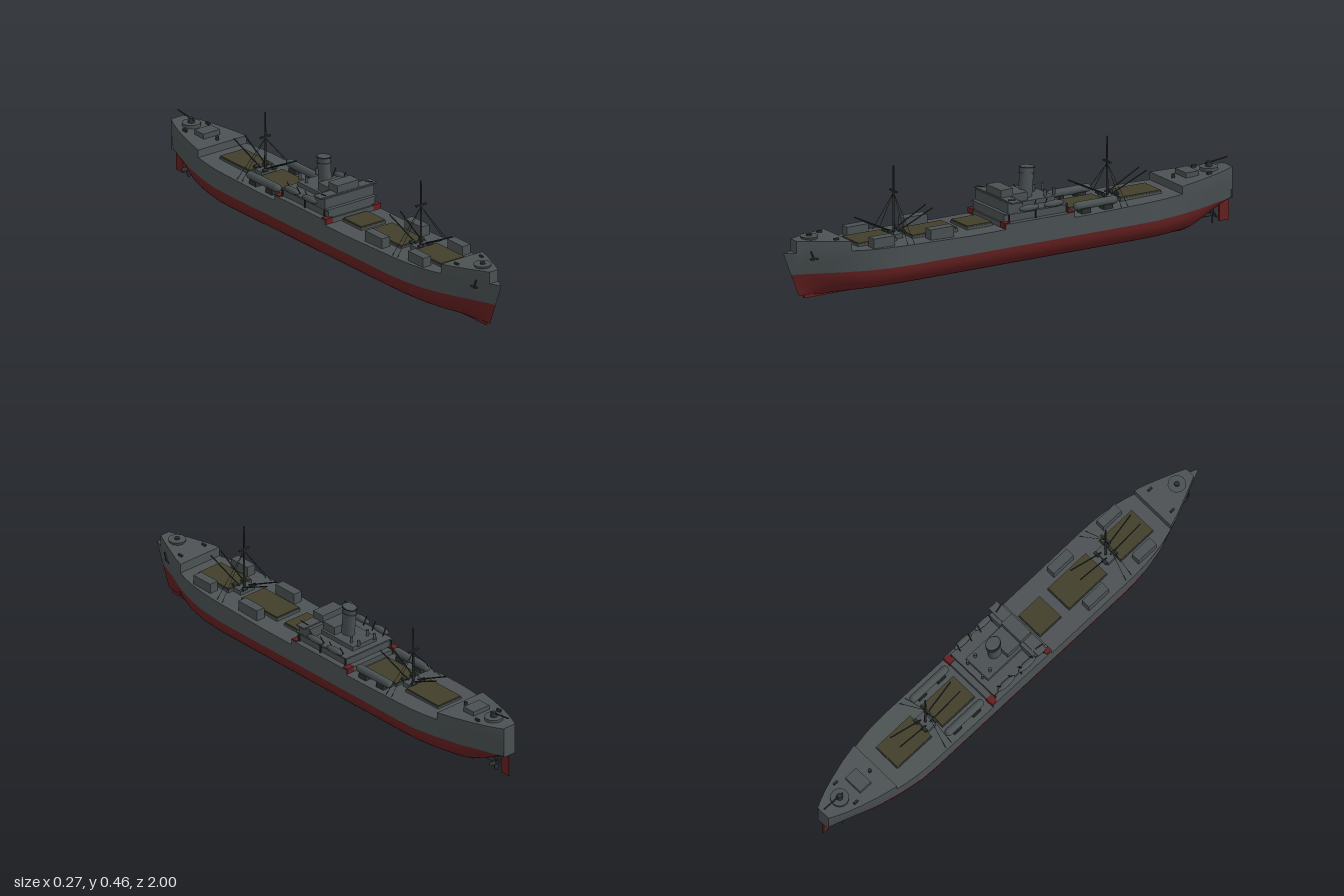
import * as THREE from 'three';
import { toCreasedNormals } from 'three/addons/utils/BufferGeometryUtils.js';

const mat = (name, color, side = THREE.FrontSide) => {
  const m = new THREE.MeshStandardMaterial({ color, side });
  m.name = name;
  return m;
};

export function createModel() {
  const ship = new THREE.Group();
  ship.name = 'cargoShip';
  const grey = mat('hullGrey', 0x4a5153, THREE.DoubleSide);
  const deckGrey = mat('deckGrey', 0x4c5153, THREE.DoubleSide);
  const red = mat('antifoulingRed', 0x641f20, THREE.DoubleSide);
  const olive = mat('hatchOlive', 0x42402a);
  const dark = mat('fittingsDark', 0x2b2f31);

  // ---- helpers ----
  const add = (name, geo, material, x = 0, y = 0, z = 0) => {
    const m = new THREE.Mesh(geo, material);
    m.name = name;
    m.position.set(x, y, z);
    ship.add(m);
    return m;
  };
  // Box given by centre x, width, and ranges in y and z
  const box = (name, material, x, w, y0, y1, z0, z1) =>
    add(name, new THREE.BoxGeometry(w, y1 - y0, z1 - z0), material, x, (y0 + y1) / 2, (z0 + z1) / 2);
  const cyl = (name, material, r0, r1, h, x, y, z, n = 16) =>
    add(name, new THREE.CylinderGeometry(r1, r0, h, n), material, x, y + h / 2, z);
  const rod = (name, a, b, r, material = dark) => {
    const p = new THREE.Vector3(...a), q = new THREE.Vector3(...b), d = q.clone().sub(p);
    const m = add(name, new THREE.CylinderGeometry(r, r, d.length(), 6), material);
    m.position.copy(p).add(q).multiplyScalar(0.5);
    m.quaternion.setFromUnitVectors(new THREE.Vector3(0, 1, 0), d.normalize());
  };
  const interp = (table, z) => {
    let i = 0;
    while (i < table.length - 2 && z > table[i + 1][0]) i++;
    const [z0, a] = table[i], [z1, b] = table[i + 1];
    return a + (b - a) * THREE.MathUtils.clamp((z - z0) / (z1 - z0), 0, 1);
  };
  const loft = (name, rows, material, crease = 0.6) => {
    const n = rows[0].length, index = [];
    for (let i = 0; i < rows.length - 1; i++) for (let j = 0; j < n - 1; j++) {
      const a = i * n + j, b = a + n;
      index.push(a, a + 1, b, a + 1, b + 1, b);
    }
    const g = new THREE.BufferGeometry();
    g.setAttribute('position', new THREE.Float32BufferAttribute(rows.flat(2), 3));
    g.setIndex(index);
    add(name, toCreasedNormals(g, crease), material);
  };

  // ---- hull lines: half-beam at deck and waterline, keel rise, sheer ----
  const beam = [[-1, 0.03], [-0.97, 0.045], [-0.9, 0.072], [-0.8, 0.1], [-0.7, 0.121], [-0.62, 0.132], [-0.55, 0.135],
    [0.54, 0.135], [0.62, 0.13], [0.7, 0.116], [0.8, 0.086], [0.9, 0.046], [1, 0]];
  const water = [[-1, 0.02], [-0.9, 0.055], [-0.8, 0.09], [-0.7, 0.115], [-0.6, 0.132], [-0.52, 0.135],
    [0.5, 0.135], [0.6, 0.126], [0.7, 0.106], [0.8, 0.074], [0.9, 0.037], [1, 0]];
  const keel = [[-1, 0.099], [-0.94, 0.07], [-0.86, 0.03], [-0.79, 0.007], [0.9, 0.005], [1, 0.012]];
  const mainSheer = [[-1, 0.186], [-0.7, 0.181], [-0.3, 0.173], [0.25, 0.173], [0.6, 0.183], [1, 0.19]];
  const poop = [[-1, 0.226], [-0.72, 0.212]];
  const forecastle = [[0.755, 0.225], [0.955, 0.237]];
  const WL = 0.1;
  const halfBeam = (z, y) => THREE.MathUtils.lerp(interp(water, z), interp(beam, z),
    THREE.MathUtils.clamp((y - WL) / 0.085, 0, 1));
  const rake = (z, y) => z - 0.07 * THREE.MathUtils.clamp((0.185 - y) / 0.175, 0, 1)
    * THREE.MathUtils.smoothstep(z, 0.65, 1);

  const stations = [];
  for (let i = 0; i <= 50; i++) {
    const z = -1 + i * 0.04;
    stations.push([z, z < -0.72 ? interp(poop, z) : z > 0.755 && z < 0.955 ? interp(forecastle, z) : interp(mainSheer, z)]);
  }
  // doubled stations make the breaks of the raised decks
  stations.push([-0.7201, 0.212], [-0.7199, 0.181], [0.7549, 0.187], [0.7551, 0.225], [0.9549, 0.237], [0.9551, 0.189]);
  stations.sort((a, b) => a[0] - b[0]);

  const bottomRow = ([z]) => {
    const k = interp(keel, z), w = interp(water, z);
    const e = 2 / (2.3 - 0.9 * THREE.MathUtils.smoothstep(Math.abs(z), 0.6, 1));
    const row = [];
    for (let j = -12; j <= 12; j++) {
      const a = (Math.abs(j) / 12) * Math.PI / 2;
      const y = k + (WL - k) * (1 - Math.max(0, Math.cos(a)) ** e);
      row.push([Math.sign(j) * w * Math.sin(a) ** e, y, rake(z, y)]);
    }
    return row;
  };
  loft('hullBottom', stations.map(bottomRow), red, 0.9);
  for (const s of [1, -1]) loft('hullSide', stations.map(([z, top]) => {
    const row = [0, 0.25, 0.5, 0.75, 1].map(f => {
      const y = WL + (top - WL) * f;
      return [s * halfBeam(z, y), y, rake(z, y)];
    });
    return s > 0 ? row : row.reverse();
  }), grey);
  loft('deck', stations.map(([z, y]) => [1, -1].map(s => [s * halfBeam(z, y), y, rake(z, y)])), deckGrey, 0.4);
  box('transom', grey, 0, 0.056, WL, 0.226, -1, -0.997);
  box('keelBar', red, 0, 0.008, 0, 0.012, -0.8, 0.91);

  // ---- rudder and propeller ----
  box('rudder', red, 0, 0.008, 0.01, 0.098, -1, -0.957);
  rod('propellerShaft', [0, 0.04, -0.85], [0, 0.04, -0.94], 0.006);
  for (let i = 0; i < 4; i++) {
    const blade = add('propellerBlade', new THREE.SphereGeometry(1, 10, 6), dark, 0, 0.04, -0.927);
    blade.geometry.scale(0.009, 0.018, 0.003).rotateY(0.5).translate(0, 0.019, 0);
    blade.rotation.z = i * Math.PI / 2;
  }

  // ---- cargo hatches ----
  for (const [z0, z1] of [[-0.66, -0.48], [-0.42, -0.25], [0.1, 0.21], [0.255, 0.455], [0.53, 0.7]]) {
    const y = interp(mainSheer, (z0 + z1) / 2);
    box('hatchCoaming', grey, 0, 0.118, y - 0.01, y + 0.01, z0 - 0.002, z1 + 0.002);
    box('hatchCover', olive, 0, 0.114, y + 0.01, y + 0.015, z0, z1);
  }

  // ---- midship island ----
  box('islandBlock', grey, 0, 0.27, 0.165, 0.193, -0.225, 0.085);
  box('promenadeHouse', grey, 0, 0.222, 0.193, 0.222, -0.2, 0.078);
  box('boatDeck', deckGrey, 0, 0.236, 0.222, 0.228, -0.205, 0.08);
  box('bridgeHouse', grey, 0, 0.234, 0.228, 0.268, 0.0, 0.064);
  box('bridgeWings', deckGrey, 0, 0.27, 0.268, 0.273, 0.015, 0.058);
  box('wheelhouse', grey, 0, 0.104, 0.273, 0.303, 0.0, 0.056);
  box('funnelHouse', grey, 0, 0.12, 0.228, 0.246, -0.18, 0);
  box('officersHouse', grey, 0, 0.1, 0.246, 0.278, -0.065, 0);
  for (const s of [1, -1]) {
    for (const z of [0.062, -0.228]) box('redLocker', red, s * 0.115, 0.034, 0.176, 0.197, z, z + 0.026);
    for (const z of [0.06, -0.06, -0.2]) rod('deckPost', [s * 0.118, 0.19, z], [s * 0.118, 0.225, z], 0.003);
    for (const z of [-0.03, -0.14]) {
      const boat = add('lifeboat', new THREE.SphereGeometry(1, 16, 10), grey, s * 0.118, 0.238, z);
      boat.scale.set(0.013, 0.013, 0.045);
      for (const d of [-0.03, 0.03]) rod('davit', [s * 0.1, 0.228, z + d], [s * 0.118, 0.262, z + d], 0.002);
    }
    for (const z of [-0.15, -0.19]) cyl('ventilator', grey, 0.006, 0.006, 0.026, s * 0.04, 0.246, z, 10);
    rod('bridgeGun', [s * 0.105, 0.273, 0.025], [s * 0.112, 0.281, 0.06], 0.002);
  }

  // ---- raked funnel ----
  const funnel = new THREE.Group();
  funnel.name = 'funnel';
  const funnelPart = (name, r, h, y, m) => {
    const p = new THREE.Mesh(new THREE.CylinderGeometry(r, r, h, 24), m);
    p.name = name;
    p.position.y = y;
    funnel.add(p);
  };
  funnelPart('funnelBody', 0.023, 0.125, 0.062, grey);
  funnelPart('funnelBand', 0.026, 0.004, 0.1, grey);
  funnelPart('funnelCap', 0.026, 0.004, 0.122, dark);
  funnel.scale.z = 1.25;
  funnel.position.set(0, 0.24, -0.085);
  funnel.rotation.x = -0.08;
  ship.add(funnel);

  // ---- masts with derricks, shrouds and winches ----
  for (const [z, top] of [[0.505, 0.46], [-0.455, 0.425]]) {
    const y = interp(mainSheer, z), cross = top - 0.1;
    box('mastHouse', grey, 0, 0.07, y - 0.01, y + 0.018, z - 0.02, z + 0.02);
    cyl('mast', dark, 0.005, 0.003, top - y, 0, y, z, 10);
    box('crosstree', dark, 0, 0.05, cross - 0.003, cross + 0.003, z - 0.004, z + 0.004);
    for (const s of [1, -1]) {
      for (const d of [1, -1]) {
        rod('derrick', [s * 0.015, y + 0.022, z + d * 0.01], [s * 0.026, y + 0.094, z + d * 0.16], 0.0026);
        const winch = cyl('winch', dark, 0.007, 0.007, 0.022, s * 0.022, y + 0.014, z + d * 0.027, 10);
        winch.rotation.z = Math.PI / 2;
        rod('shroud', [s * 0.003, cross - 0.01, z], [s * 0.125, y, z + d * 0.015], 0.0009);
      }
    }
  }

  // ---- deck cargo along the sides ----
  for (const s of [1, -1]) {
    for (const [z0, z1, y1] of [[0.305, 0.41, 0.218], [0.57, 0.665, 0.222]])
      box('deckLocker', grey, s * 0.095, 0.038, 0.17, y1, z0, z1);
    for (const z of [-0.39, -0.29]) {
      box('cradle', dark, s * 0.095, 0.036, 0.172, 0.192, z - 0.02, z + 0.02);
    }
    const launch = add('stowedLaunch', new THREE.CapsuleGeometry(0.016, 0.165, 6, 14), grey, s * 0.095, 0.202, -0.342);
    launch.rotation.x = Math.PI / 2;
  }

  // ---- forecastle gear ----
  cyl('bowGunTub', grey, 0.03, 0.036, 0.014, 0, 0.23, 0.885, 10);
  cyl('bowWindlass', dark, 0.012, 0.01, 0.012, 0, 0.238, 0.885, 10);
  for (const s of [1, -1]) {
    box('bollard', dark, s * 0.06, 0.008, 0.225, 0.235, 0.79, 0.81);
    rod('anchorShank', [s * 0.047, 0.158, 0.89], [s * 0.046, 0.193, 0.905], 0.0035);
    rod('anchorArms', [s * 0.05, 0.162, 0.875], [s * 0.042, 0.162, 0.905], 0.004);
  }

  // ---- poop house, gun tub and stern gun ----
  box('poopHouse', grey, 0, 0.08, 0.212, 0.236, -0.842, -0.785);
  cyl('poopVent', dark, 0.007, 0.007, 0.016, 0, 0.212, -0.752, 10);
  cyl('sternGunTub', grey, 0.036, 0.036, 0.014, 0, 0.22, -0.912, 20);
  cyl('sternGunMount', dark, 0.014, 0.01, 0.018, 0, 0.234, -0.912, 12);
  rod('sternGunBarrel', [0, 0.246, -0.895], [0, 0.258, -0.995], 0.003);
  for (const s of [1, -1]) box('sternBollard', dark, s * 0.055, 0.008, 0.218, 0.23, -0.89, -0.87);

  return ship;
}
